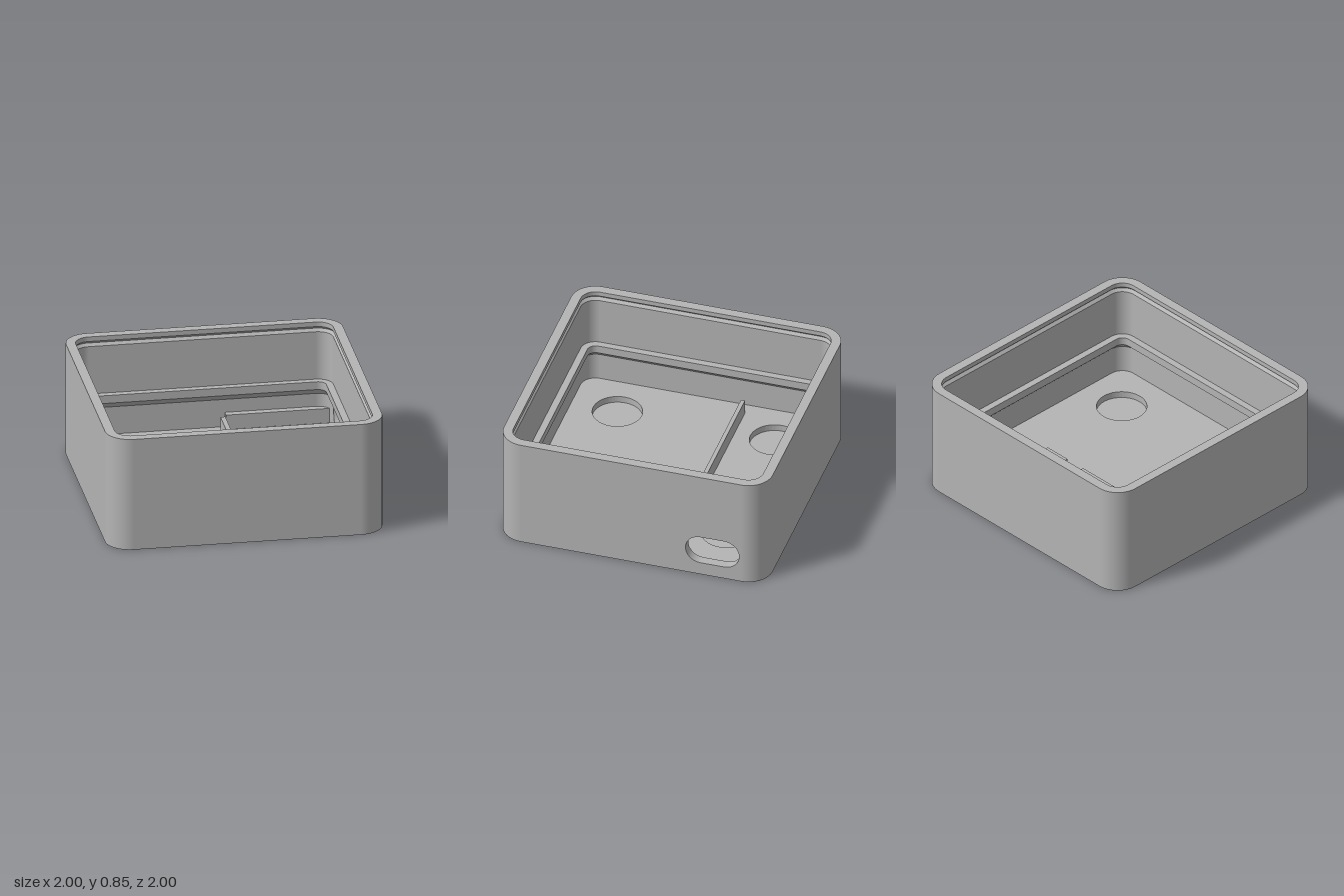
import * as THREE from 'three';

const grey = new THREE.MeshStandardMaterial({ color: 0xb4b4b4, side: THREE.DoubleSide });
grey.name = 'grey plastic';

const C = 0.82;            // centre of every corner arc, outer and inner
const H = 0.85;            // overall height
const FLOOR = 0.09, POCKET = 0.04;
const LIP_LOW = 0.30, LIP_MID = 0.35, LIP_TOP = 0.41;
const PORT = { u: 0.605, y: 0.2125, half: 0.0875, r: 0.1125 };   // u is -z

function add(group, name, geometry) {
  const mesh = new THREE.Mesh(geometry, grey);
  mesh.name = name;
  group.add(mesh);
  return mesh;
}

// Rounded square of half width h
function roundedSquare(h) {
  const s = new THREE.Shape(), r = h - C;
  [[1, 1], [-1, 1], [-1, -1], [1, -1]].forEach(([x, y], i) =>
    s.absarc(x * C, y * C, r, i * Math.PI / 2, (i + 1) * Math.PI / 2, false));
  s.closePath();
  return s;
}

// Band round the box between two profile points [half width, y];
// open bands leave out the flat +x side
function band([h0, y0], [h1, y1], open = false) {
  const pos = [], nor = [], idx = [], N = 12;
  const len = Math.hypot(h1 - h0, y1 - y0);
  const nh = (y1 - y0) / len, ny = (h0 - h1) / len;
  [[1, 1], [-1, 1], [-1, -1], [1, -1]].forEach(([sx, sz], k) => {
    for (let i = 0; i <= N; i++) {
      const t = (k + i / N) * Math.PI / 2, c = Math.cos(t), s = Math.sin(t);
      for (const [h, y] of [[h0, y0], [h1, y1]]) {
        pos.push(sx * C + (h - C) * c, y, sz * C + (h - C) * s);
        nor.push(nh * c, ny, nh * s);
      }
    }
  });
  const n = 4 * (N + 1);
  for (let i = 0; i < (open ? n - 1 : n); i++) {
    const a = 2 * i, b = 2 * ((i + 1) % n);
    idx.push(a, a + 1, b, b, a + 1, b + 1);
  }
  const g = new THREE.BufferGeometry();
  g.setAttribute('position', new THREE.Float32BufferAttribute(pos, 3));
  g.setAttribute('normal', new THREE.Float32BufferAttribute(nor, 3));
  g.setIndex(idx);
  return g;
}

// Arc of the port outline, angles in radians
function portArc(side, from, to, n = 12) {
  return Array.from({ length: n + 1 }, (_, i) => {
    const t = from + (to - from) * i / n;
    return new THREE.Vector2(PORT.u + side * PORT.half + PORT.r * Math.cos(t), PORT.y + PORT.r * Math.sin(t));
  });
}

// Flat outline (u, y) placed on the +x side, with x given by a rule of y
function sidePanel(shape, xAt) {
  const g = new THREE.ShapeGeometry(shape);
  const p = g.attributes.position;
  for (let i = 0; i < p.count; i++) {
    const u = p.getX(i), y = p.getY(i);
    p.setXYZ(i, xAt(y), y, -u);
  }
  g.computeVertexNormals();
  return g;
}

export function createModel() {
  const model = new THREE.Group();
  model.name = 'enclosure';
  const V = (x, y) => new THREE.Vector2(x, y);
  const innerX = (y) => 0.93 - Math.max(0, y - LIP_LOW);

  // Walls: outside, rim, snap groove, board ledge, lower cavity
  add(model, 'outerWall', band([1, 0], [1, H], true));
  const inside = [[1, H], [0.93, H], [0.93, 0.815], [0.95, 0.795], [0.93, 0.775], [0.93, LIP_TOP],
    [0.88, LIP_TOP], [0.88, LIP_MID], [0.93, LIP_LOW], [0.93, FLOOR]];
  const names = ['rim', 'upperLip', 'grooveTop', 'grooveBottom', 'innerWall', 'ledge', 'ledgeEdge',
    'ledgeUnderside', 'lowerWall'];
  names.forEach((name, i) => add(model, name, band(inside[i], inside[i + 1], i >= 7)));

  // Port outline, split where it meets the ledge underside
  const a = Math.asin((LIP_LOW - PORT.y) / PORT.r), q = Math.PI / 2;
  const lower = [...portArc(1, a, -q), ...portArc(-1, -q, a - Math.PI - 2 * a)];
  const upper = [...portArc(-1, Math.PI - a, q), ...portArc(1, q, a)];
  const outline = [...lower, ...upper];

  // Port side of the box
  const outer = new THREE.Shape([V(-C, 0), V(C, 0), V(C, H), V(-C, H)]);
  outer.holes.push(new THREE.Path(outline));
  add(model, 'portWallOutside', sidePanel(outer, () => 1));
  add(model, 'portWallInside', sidePanel(new THREE.Shape(
    [V(-C, FLOOR), V(C, FLOOR), V(C, LIP_LOW), ...lower, V(-C, LIP_LOW)]), innerX));
  add(model, 'portWallUnderside', sidePanel(new THREE.Shape(
    [V(-C, LIP_LOW), ...upper, V(C, LIP_LOW), V(C, LIP_MID), V(-C, LIP_MID)]), innerX));

  // Tunnel through the wall
  const pos = [], nor = [], idx = [];
  outline.forEach((p, i) => {
    const cu = PORT.u + THREE.MathUtils.clamp(p.x - PORT.u, -PORT.half, PORT.half);
    const nu = (cu - p.x) / PORT.r, nv = (PORT.y - p.y) / PORT.r;
    pos.push(1, p.y, -p.x, innerX(p.y), p.y, -p.x);
    nor.push(0, nv, -nu, 0, nv, -nu);
    const k = 2 * i, m = 2 * ((i + 1) % outline.length);
    idx.push(k, m, k + 1, m, m + 1, k + 1);
  });
  const tunnel = new THREE.BufferGeometry();
  tunnel.setAttribute('position', new THREE.Float32BufferAttribute(pos, 3));
  tunnel.setAttribute('normal', new THREE.Float32BufferAttribute(nor, 3));
  tunnel.setIndex(idx);
  add(model, 'portTunnel', tunnel);

  // Underside, and floor with four round pockets
  add(model, 'underside', new THREE.ShapeGeometry(roundedSquare(1), 12).rotateX(Math.PI / 2));
  const floor = roundedSquare(0.93);
  for (const x of [-0.585, 0.585]) for (const z of [-0.585, 0.585]) {
    floor.holes.push(new THREE.Path().absarc(x, z, 0.18, 0, Math.PI * 2, true));
    const base = add(model, 'pocketBase', new THREE.CircleGeometry(0.18, 48).rotateX(-Math.PI / 2));
    base.position.set(x, POCKET, z);
  }
  const slab = new THREE.ExtrudeGeometry(floor, { depth: FLOOR - POCKET, bevelEnabled: false, curveSegments: 24 });
  add(model, 'floor', slab.rotateX(-Math.PI / 2)).position.y = POCKET;

  // Ribs and board rails on the floor: x0, x1, z0, z1
  const ribs = {
    longRib: [-0.83, 0.11, -0.29, -0.26],
    crossRib: [0.12, 0.155, -0.85, -0.37],
    shortRib: [0.27, 0.47, -0.29, -0.26],
    frontRail: [0.165, 0.94, -0.345, -0.305],
    backRail: [0.165, 0.93, -0.935, -0.877],
  };
  for (const [name, [x0, x1, z0, z1]] of Object.entries(ribs)) {
    const rib = add(model, name, new THREE.BoxGeometry(x1 - x0, 0.2 - FLOOR + 0.01, z1 - z0));
    rib.position.set((x0 + x1) / 2, (0.2 + FLOOR - 0.01) / 2, (z0 + z1) / 2);
  }
  return model;
}
